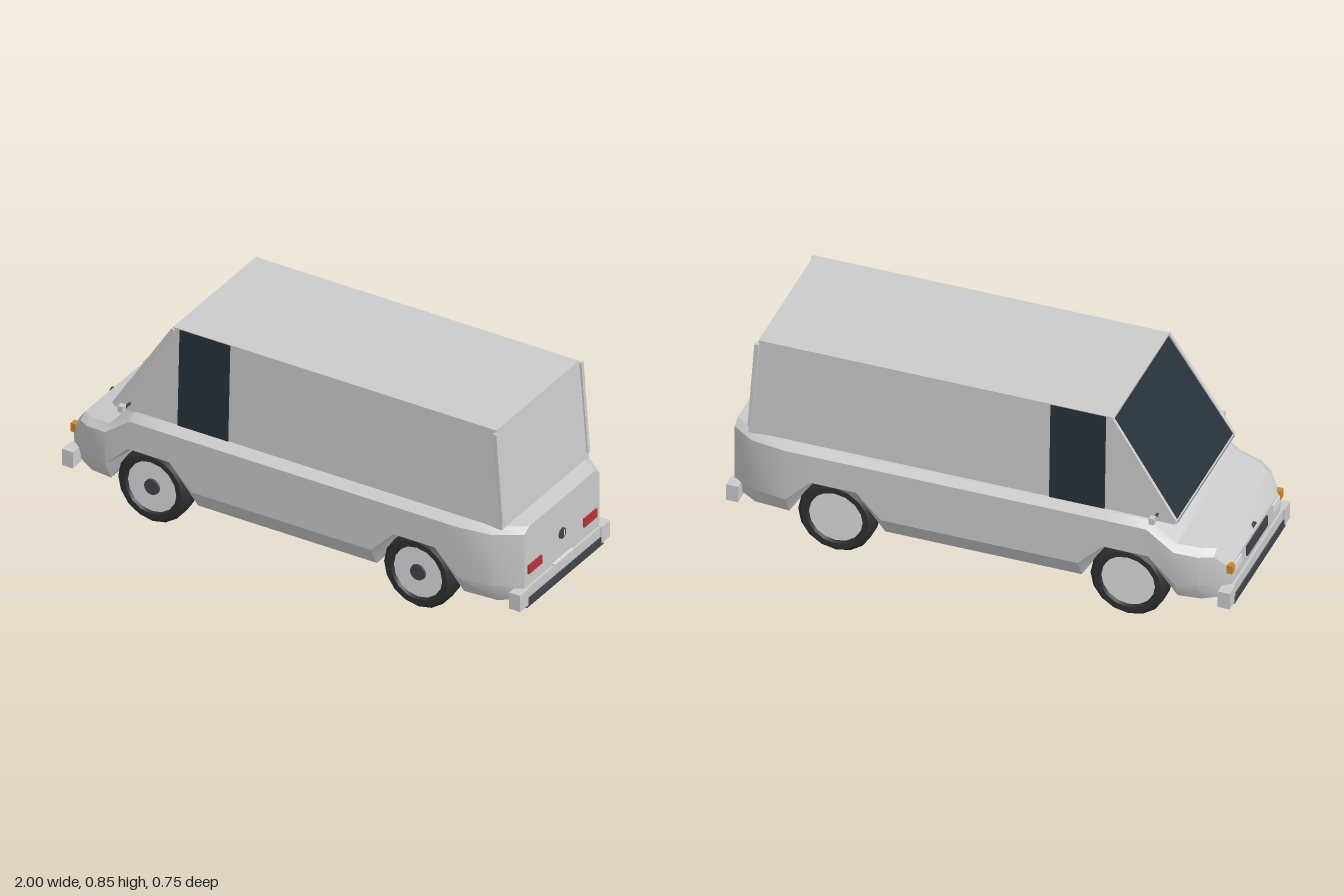
import * as THREE from 'three';
import { toCreasedNormals } from 'three/addons/utils/BufferGeometryUtils.js';

const mat = (color) => new THREE.MeshStandardMaterial({ color });
const grey = mat(0xcccccc), glass = mat(0x26323c), rubber = mat(0x303032);
const dark = mat(0x44444c), red = mat(0xb83238), amber = mat(0xd08a20), rim = mat(0xe0e0e4);

// Closed skin through rings of [x, y, z] points, ordered from front (-x) to rear (+x)
function loft(rings, crease = 0.5) {
  const n = rings[0].length, last = (rings.length - 1) * n, idx = [];
  for (let i = 0; i < rings.length - 1; i++) {
    for (let j = 0; j < n; j++) {
      const a = i * n + j, b = i * n + (j + 1) % n;
      idx.push(a, b, b + n, a, b + n, a + n);
    }
  }
  for (let k = 1; k < n - 1; k++) {
    idx.push(0, k + 1, k, last, last + k, last + k + 1);
  }
  const g = new THREE.BufferGeometry();
  g.setAttribute('position', new THREE.Float32BufferAttribute(rings.flat(2), 3));
  g.setIndex(idx);
  return toCreasedNormals(g, crease);
}

export function createModel() {
  const van = new THREE.Group();
  van.name = 'van';

  function add(name, geometry, material, x = 0, y = 0, z = 0, parent = van) {
    const m = new THREE.Mesh(geometry, material);
    m.name = name;
    m.position.set(x, y, z);
    parent.add(m);
    return m;
  }
  const box = (name, material, x, y, z, w, h, d) =>
    add(name, new THREE.BoxGeometry(w, h, d), material, x, y, z);
  // Square bar between two points
  function bar(name, material, a, b, t) {
    const p = new THREE.Vector3(...a), q = new THREE.Vector3(...b);
    const m = box(name, material, 0, 0, 0, t, p.distanceTo(q), t);
    m.position.copy(p).lerp(q, 0.5);
    m.quaternion.setFromUnitVectors(new THREE.Vector3(0, 1, 0), q.sub(p).normalize());
  }

  // Lower body: x, top y, half width, sill crease y, floor half width, floor y
  const stations = [
    [-0.985, 0.27, 0.255, 0.20, 0.24, 0.13],
    [-0.93, 0.34, 0.30, 0.20, 0.27, 0.12],
    [-0.88, 0.348, 0.335, 0.20, 0.30, 0.12],
    [-0.79, 0.36, 0.353, 0.20, 0.31, 0.12],
    [-0.69, 0.435, 0.355, 0.30, 0.31, 0.28],
    [-0.68, 0.44, 0.355, 0.30, 0.31, 0.28],
    [-0.51, 0.44, 0.355, 0.30, 0.31, 0.28],
    [-0.41, 0.44, 0.355, 0.20, 0.31, 0.12],
    [0.37, 0.44, 0.355, 0.20, 0.31, 0.12],
    [0.47, 0.44, 0.355, 0.30, 0.31, 0.28],
    [0.65, 0.44, 0.355, 0.30, 0.31, 0.28],
    [0.75, 0.44, 0.355, 0.20, 0.31, 0.12],
    [0.89, 0.44, 0.335, 0.20, 0.30, 0.12],
    [0.985, 0.435, 0.265, 0.19, 0.25, 0.13],
  ];
  add('lowerBody', loft(stations.map(([x, top, w, sill, wf, floor]) => {
    const half = [[x, top, w - 0.035], [x, top - 0.02, w], [x, sill, w], [x, floor, wf]];
    return [...half, ...half.map(([a, b, c]) => [a, b, -c]).reverse()];
  })), grey);

  // Upper cabin with sloping front and rear
  const ring = (xTop, xLow, zTop, zLow) =>
    [[xTop, 0.85, zTop], [xLow, 0.435, zLow], [xLow, 0.435, -zLow], [xTop, 0.85, -zTop]];
  add('cabin', loft([ring(-0.52, -0.78, 0.293, 0.308), ring(0.88, 0.915, 0.293, 0.308)]), grey);
  add('sideWindows', loft([
    ring(-0.5, -0.5, 0.296, 0.311), ring(-0.28, -0.28, 0.296, 0.311),
  ].map((r) => r.map(([x, y, z]) => [x, y - (y > 0.8 ? 0.003 : -0.005), z]))), glass);
  add('windscreen', loft([ring(-0.527, -0.787, 0.285, 0.296), ring(-0.52, -0.78, 0.285, 0.296)]
    .map((r) => r.map(([x, y, z]) => [x, y > 0.8 ? 0.845 : 0.442, z]))), glass);
  bar('windscreenTopFrame', grey, [-0.523, 0.843, -0.295], [-0.523, 0.843, 0.295], 0.014);
  bar('windscreenLowFrame', grey, [-0.78, 0.445, -0.305], [-0.78, 0.445, 0.305], 0.012);

  for (const s of [1, -1]) {
    // Corner pillars
    bar('frontPillar', grey, [-0.78, 0.445, s * 0.303], [-0.525, 0.845, s * 0.296], 0.014);
    bar('rearPillar', grey, [0.91, 0.46, s * 0.301], [0.882, 0.84, s * 0.301], 0.016);
    // Door mirror
    bar('mirrorArm', dark, [-0.71, 0.467, s * 0.29], [-0.71, 0.467, s * 0.36], 0.008);
    box('mirror', grey, -0.71, 0.475, s * 0.363, 0.022, 0.026, 0.024);
    // Lamps
    box('tailLight', red, 0.985, 0.252, s * 0.195, 0.014, 0.036, 0.092);
    box('headlight', rim, -0.984, 0.245, s * 0.2, 0.014, 0.034, 0.07);
    box('turnSignal', amber, -0.98, 0.255, s * 0.256, 0.022, 0.036, 0.028);
    // Bumper ends
    for (const e of [1, -1]) {
      box('bumperEnd', grey, e * 0.976, 0.147, s * 0.288, 0.048, 0.07, 0.06);
    }
  }

  // Bumpers with dark lower strip
  for (const e of [1, -1]) {
    box('bumper', grey, e * 0.976, 0.152, 0, 0.036, 0.058, 0.56);
    box('bumperStrip', dark, e * 0.985, 0.121, 0, 0.03, 0.034, 0.54);
  }

  // Nose and tail details
  box('grille', dark, -0.985, 0.235, 0, 0.014, 0.045, 0.21);
  box('plateLamp', rim, 0.988, 0.184, 0, 0.014, 0.008, 0.136);
  const disc = new THREE.CylinderGeometry(0.022, 0.022, 0.012, 20).rotateZ(Math.PI / 2);
  add('tailLatch', disc, dark, 0.985, 0.287, 0);
  box('latchSlot', rim, 0.991, 0.287, -0.008, 0.002, 0.026, 0.005);
  add('noseLatch', disc, dark, -0.975, 0.275, 0).scale.setScalar(0.8);

  // Wheels: the same wheel is repeated at all four corners
  const profile = [[0.105, -0.03], [0.112, -0.048], [0.135, -0.048], [0.15, -0.034],
    [0.15, 0.034], [0.135, 0.048], [0.112, 0.048], [0.105, 0.03]]
    .map(([r, y]) => new THREE.Vector2(r, y));
  const tyre = toCreasedNormals(new THREE.LatheGeometry(profile, 16).rotateX(Math.PI / 2), 0.5);
  const hub = new THREE.CylinderGeometry(0.108, 0.108, 0.07, 24).rotateX(Math.PI / 2);
  const cap = new THREE.CylinderGeometry(0.032, 0.034, 0.014, 16).rotateX(Math.PI / 2);
  for (const x of [-0.6, 0.56]) {
    for (const z of [0.29, -0.29]) {
      const wheel = new THREE.Group();
      wheel.name = 'wheel';
      wheel.position.set(x, 0.15, z);
      add('tyre', tyre, rubber, 0, 0, 0, wheel);
      add('hub', hub, rim, 0, 0, 0, wheel);
      add('hubCap', cap, dark, 0, 0, 0.036, wheel);
      van.add(wheel);
    }
    // Axle
    bar('axle', dark, [x, 0.15, -0.26], [x, 0.15, 0.26], 0.02);
  }
  return van;
}
